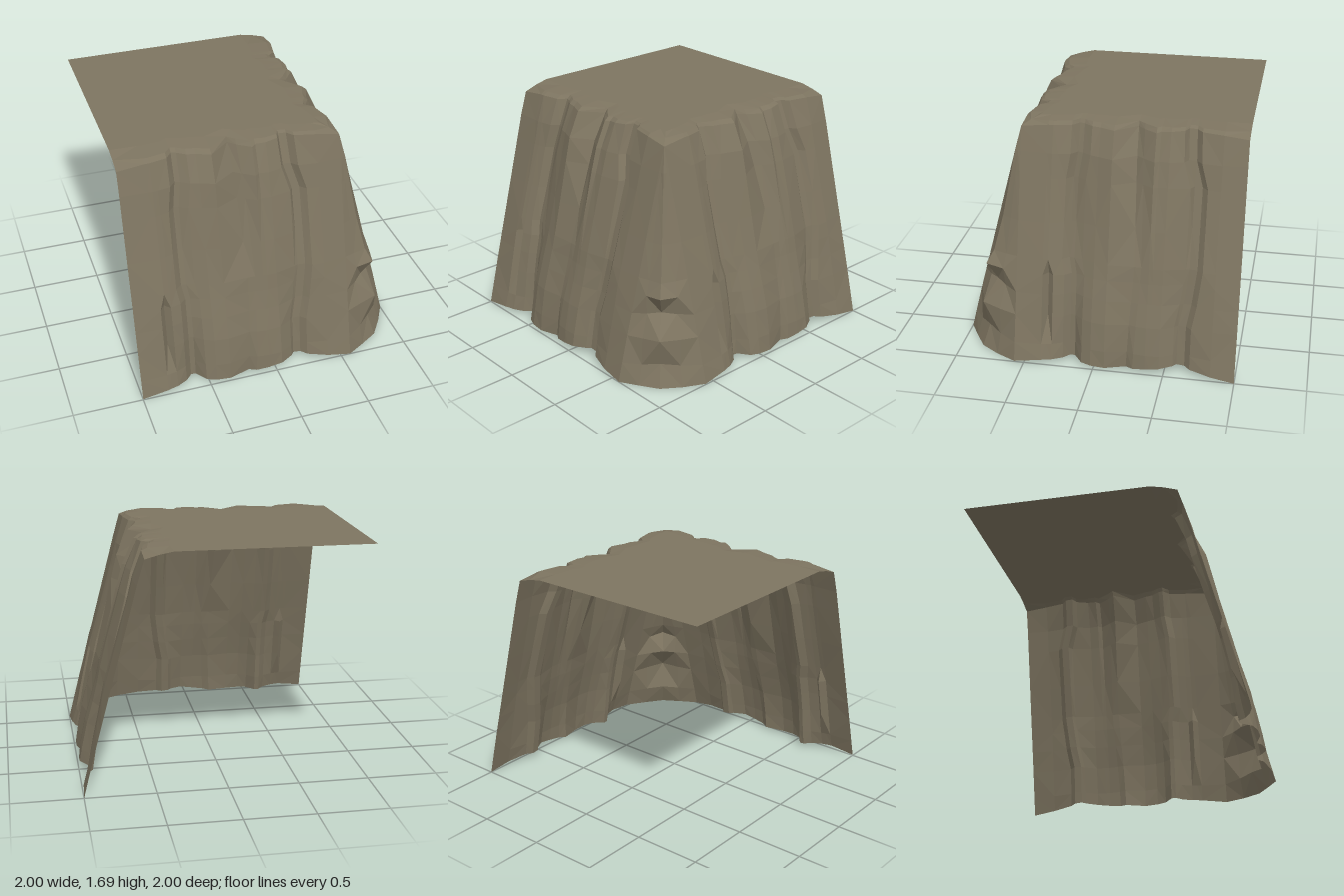
import * as THREE from 'three';

const EDGE = 0.57; // where the flat walls meet the rounded corner
const TOP = 1.69;
const ROWS = [0, 0.14, 0.34, 0.5, 0.64, 0.75, 1.0, 1.3, 1.47, 1.65];

// Linear interpolation through [key, value] pairs
function keyed(keys, t) {
  for (let i = 1; i < keys.length; i++) {
    const [a, va] = keys[i - 1], [b, vb] = keys[i];
    if (t <= b) return va + (vb - va) * Math.max(0, (t - a) / (b - a));
  }
  return keys[keys.length - 1][1];
}

// Batter of the cliff: straight at the wall ends, swelling between them
const swell = [[0, 0], [0.25, 0.031], [1.0, 0.03], [1.47, 0.033], [1.65, 0]];
const swellAlong = [[-1, 0.15], [-0.7, 0.6], [-0.4, 1], [0.3, 1], [0.57, 0.15]];
// Wavy foot and brow, and sideways wander of the cracks
const foot = [[-1, 0.005], [-0.8, 0.03], [-0.6, 0.028], [-0.3, 0.012], [-0.1, 0.03], [0.03, 0.05], [0.15, 0.055], [0.3, 0.04], [0.57, 0]];
const brow = [[-1, 1.635], [-0.8, 1.66], [-0.35, 1.65], [-0.1, 1.645], [0.1, 1.67], [0.4, 1.665], [0.57, 1.645]];
const leftWander = [[0, 0], [0.64, 0], [0.75, -0.02], [1.3, -0.015], [1.47, 0.01], [1.65, 0.01]];
const middleWander = [[0, 0], [0.75, 0.035], [1.65, 0]];
const rightWander = [[0, 0], [0.34, 0], [0.5, 0.03], [0.75, 0.06], [1.3, 0.06], [1.47, 0.01], [1.65, 0]];

// Wall columns: position along wall, then depth of dent at foot, middle, top
const COLUMNS = [
  [-1, 0, 0, 0], [-0.81, 0.01, 0, 0], [-0.775, 0.02, 0, 0], [-0.735, 0.03, 0.01, 0.01],
  [-0.66, 0.07, 0.03, 0.03], [-0.615, 0.12, 0.07, 0.09], [-0.58, 0.12, 0.065, 0.08], [-0.52, 0.04, 0.05, 0.04],
  [-0.45, 0.015, 0.02, 0.03], [-0.35, 0.01, 0, -0.01], [-0.2, 0.05, 0.01, 0.12], [-0.15, 0.02, 0.01, 0.07],
  [-0.06, 0.01, 0, 0], [-0.03, 0.01, 0, 0.025], [0.04, 0.01, 0.005, 0.01], [0.13, 0.06, 0.045, 0.03],
  [0.155, 0.09, 0.055, 0.085], [0.21, 0.09, 0.05, 0.08], [0.25, 0.05, 0.015, 0.03], [0.4, 0.01, 0.005, 0], [EDGE, 0, 0, 0],
];

function wanderAt(u, row) {
  if (u > -0.68 && u < -0.5) return keyed(leftWander, row);
  if (u > -0.22 && u < -0.1) return keyed(middleWander, row);
  if (u > 0.1 && u < 0.3) return keyed(rightWander, row);
  return 0;
}

// Points of one wall column as [along, y, outward]; corner is the end at the rounded corner
function wallColumn([u, d0, d1, d2], i, corner) {
  const inner = i > 0 && i < COLUMNS.length - 1;
  const pts = ROWS.map((row, r) => {
    let dent = keyed([[0, d0], [0.75, d1], [1.65, d2]], row);
    if (i === 2 && r > 1 && r < 5) dent += 0.05; // narrow gash
    if (inner && r > 0 && r < 9) dent += 0.006 * Math.sin(i * 12.9 + r * 7.3);
    const y = r === 0 ? keyed(foot, u) : r === 9 ? keyed(brow, u) : row;
    const face = 1 - 0.435 * row / 1.65 + keyed(swell, row) * keyed(swellAlong, u);
    return [u + wanderAt(u, row), y, face - dent];
  });
  // Brow rolling back into the flat top, tighter between the ends
  const [along, y, out] = pts[9];
  const distance = Math.abs(u - corner);
  const inset = keyed([[0, 0.11], [0.2, 0.12], [0.6, 0.17], [1.57, 0.2]], distance);
  const lip = [distance === 0 ? u - Math.sign(u) * 0.11 : along, TOP, EDGE - inset - d2 * 0.5];
  const [back, rise] = inner ? [0.2, 0.7] : [0.5, 0.6];
  pts.push([along + (lip[0] - along) * back, y + (TOP - y) * rise, out + (lip[2] - out) * back], lip);
  return pts;
}

// Rock ledges on the corner: outward push per row
const ledges = [0, -0.035, 0.055, -0.035, 0.085, 0.045, 0.02, 0.015, 0.015];

function cornerColumn(angle, weight, seam) {
  return seam.map((p, r) => {
    if (r >= 9) return p;
    const radius = (p[2] - EDGE) * 0.88 + ledges[r] * weight;
    const y = p[1] + (r > 0 && r < 5 ? 0.02 * weight : 0);
    return [EDGE + Math.sin(angle) * radius, y, EDGE + Math.cos(angle) * radius];
  });
}

function toGeometry(pos) {
  const g = new THREE.BufferGeometry();
  g.setAttribute('position', new THREE.Float32BufferAttribute(pos, 3));
  g.computeVertexNormals();
  return g;
}

// Skin a list of columns, left to right, bottom to top
function skin(columns) {
  const pos = [];
  for (let c = 0; c < columns.length - 1; c++) {
    for (let r = 0; r < columns[c].length - 1; r++) {
      const a = columns[c][r], b = columns[c + 1][r], d = columns[c + 1][r + 1], e = columns[c][r + 1];
      if ((c + (r >> 1)) % 2) pos.push(...a, ...b, ...d, ...a, ...d, ...e);
      else pos.push(...a, ...b, ...e, ...b, ...d, ...e);
    }
  }
  return toGeometry(pos);
}

export function createModel() {
  const rock = new THREE.MeshStandardMaterial({ color: 0x7d7460, flatShading: true, side: THREE.DoubleSide });
  rock.name = 'brown rock';
  const group = new THREE.Group();
  group.name = 'cliffCorner';
  const add = (name, geometry) => {
    const mesh = new THREE.Mesh(geometry, rock);
    mesh.name = name;
    group.add(mesh);
  };

  // The same wall faces forward and, turned a quarter, sideways
  const front = COLUMNS.map((c, i) => wallColumn(c, i, EDGE));
  const side = COLUMNS.map((c, i) => wallColumn(c, i, -1).map(([u, y, out]) => [out, y, EDGE - 1 - u]));
  // Both walls share one brow at the corner
  const seam = front[front.length - 1];
  seam[9] = [EDGE, 1.64, EDGE];
  for (const r of [9, 10, 11]) side[0][r] = seam[r];
  add('frontWall', skin(front));
  add('sideWall', skin(side));

  // Rounded outer corner between the walls
  const corner = [[0.35, 0.35], [0.75, 1], [1.18, 0.45]].map(([a, w]) => cornerColumn(a, w, seam));
  add('cornerRock', skin([seam, ...corner, side[0]]));

  // Flat top fanned from the back corner
  const rim = [...front, ...side].map((col) => col[col.length - 1]);
  const pos = [];
  for (let i = 0; i < rim.length - 1; i++) pos.push(-1, TOP, -1, ...rim[i], ...rim[i + 1]);
  add('topGround', toGeometry(pos));
  return group;
}
